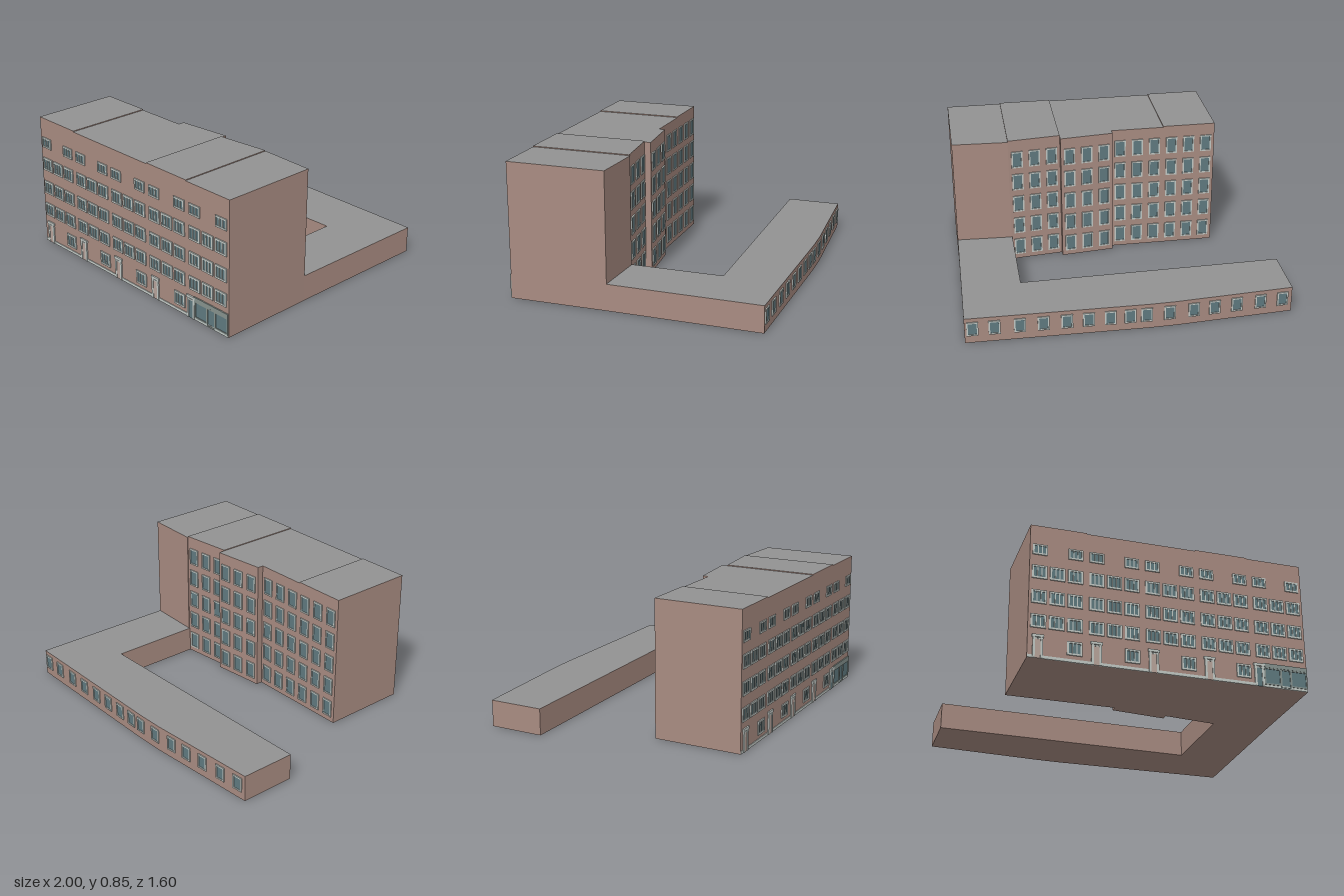
import * as THREE from 'three';

const mat = (name, color) => Object.assign(new THREE.MeshStandardMaterial({ color }), { name });
const BRICK = mat('brick', 0xa98c82);
const ROOF = mat('roof grey', 0x929292);
const PALE = mat('pale frame', 0xc3cac6);
const GLASS = mat('glass', 0x607a80);
const LEAF = mat('door leaf', 0xb9a59c);
const SHOP = mat('shop frame', 0x87938f);

function mesh(name, geometry, material, x = 0, y = 0, z = 0) {
  const m = new THREE.Mesh(geometry, material);
  m.name = name;
  m.position.set(x, y, z);
  return m;
}

// Brick volume over a plan of [x, z] corners, with a thin roof sheet on top
function block(name, plan, height) {
  const shape = new THREE.Shape(plan.map(([x, z]) => new THREE.Vector2(x, -z)));
  const walls = new THREE.ExtrudeGeometry(shape, { depth: height, bevelEnabled: false }).rotateX(-Math.PI / 2);
  const roof = new THREE.ShapeGeometry(shape).rotateX(-Math.PI / 2);
  const g = new THREE.Group();
  g.name = name;
  g.add(mesh('walls', walls, BRICK), mesh('roof', roof, ROOF, 0, height + 0.001, 0));
  return g;
}

// Frame plate with a row of equal pane openings, centred on the origin
function frameGeometry(w, h, panes, border, bar, depth = 0.007) {
  const rect = (path, x0, y0, x1, y1) =>
    path.moveTo(x0, y0).lineTo(x1, y0).lineTo(x1, y1).lineTo(x0, y1).closePath();
  const shape = new THREE.Shape();
  rect(shape, -w / 2, -h / 2, w / 2, h / 2);
  const pw = (w - 2 * border - bar * (panes - 1)) / panes;
  for (let i = 0; i < panes; i++) {
    const x = -w / 2 + border + i * (pw + bar);
    const hole = new THREE.Path();
    rect(hole, x, -h / 2 + border, x + pw, h / 2 - border);
    shape.holes.push(hole);
  }
  return new THREE.ExtrudeGeometry(shape, { depth, bevelEnabled: false });
}

// Returns a maker of identical windows that share their geometry
function windowType(name, w, h, panes, border, bar, frameMat = PALE) {
  const frame = frameGeometry(w, h, panes, border, bar);
  const glass = new THREE.BoxGeometry(w - border, h - border, 0.003);
  return () => {
    const g = new THREE.Group();
    g.name = name;
    g.add(mesh('frame', frame, frameMat), mesh('glass', glass, GLASS, 0, 0, 0.0015));
    return g;
  };
}

// Door with pale jambs, canopy and a solid or glazed leaf
function door(leafMat) {
  const g = new THREE.Group();
  g.name = 'entranceDoor';
  for (const s of [-1, 1]) {
    g.add(mesh('jamb', new THREE.BoxGeometry(0.014, 0.13, 0.008), PALE, s * 0.023, 0.065, 0.004));
  }
  g.add(mesh('leaf', new THREE.BoxGeometry(0.034, 0.12, 0.005), leafMat, 0, 0.06, 0.0025));
  g.add(mesh('transom', new THREE.BoxGeometry(0.034, 0.008, 0.007), PALE, 0, 0.121, 0.0035));
  g.add(mesh('canopy', new THREE.BoxGeometry(0.07, 0.016, 0.009), PALE, 0, 0.137, 0.0045));
  return g;
}

export function createModel() {
  const model = new THREE.Group();
  model.name = 'apartmentBuilding';
  const FRONT = 0.787;

  // Put an object on the wall from a to b, which has its outside on the left going a to b seen from above
  const mount = (obj, a, b, x, y) => {
    const dx = b[0] - a[0], dz = b[1] - a[1];
    obj.position.set(x, y, a[1] + (dz * (x - a[0])) / dx);
    obj.rotation.y = Math.atan2(dz, -dx);
    model.add(obj);
  };
  const onFront = (obj, x, y) => mount(obj, [0.985, FRONT], [-0.72, FRONT], x, y);

  // Five main sections: x range, back wall z at each end, height
  const sections = [
    [-0.72, -0.38, 0.23, 0.23, 0.853],
    [-0.38, -0.04, 0.23, 0.23, 0.847],
    [-0.04, 0.30, 0.19, 0.155, 0.847],
    [0.30, 0.635, 0.195, 0.16, 0.853],
    [0.635, 0.985, 0.155, 0.17, 0.847],
  ];
  const backWindow = windowType('backWindow', 0.072, 0.112, 1, 0.009, 0);
  sections.forEach(([x0, x1, z0, z1, h], i) => {
    model.add(block('mainSection', [[x0, z0], [x1, z1], [x1, FRONT], [x0, FRONT]], h));
    if (i === 4) return;
    for (let row = 0; row < 5; row++) {
      for (const t of [1 / 6, 1 / 2, 5 / 6]) {
        mount(backWindow(), [x0, z0], [x1, z1], x0 + t * (x1 - x0), 0.09 + row * 0.157);
      }
    }
  });

  // Low L-shaped wing around the courtyard
  const backLine = [[-1, -0.745], [-0.6, -0.771], [-0.27, -0.793], [-0.1, -0.797], [0.1, -0.795], [0.997, -0.785]];
  model.add(block('lowWing', [
    ...backLine, [0.985, 0.17], [0.63, 0.16], [0.63, -0.427], [-1, -0.397],
  ], 0.166));
  const wingWindow = windowType('wingWindow', 0.07, 0.092, 1, 0.009, 0);
  const wingX = [0.95, 0.82, 0.67, 0.53, 0.39, 0.26, 0.13, 0.01, -0.09, -0.23, -0.38, -0.51, -0.65, -0.80, -0.94];
  for (const x of wingX) {
    const k = backLine.findIndex((p) => p[0] > x);
    mount(wingWindow(), backLine[k - 1], backLine[k], x, 0.095);
  }

  // Front windows in five bays of three, smaller ones on the top floor
  const frontWindow = windowType('frontWindow', 0.09, 0.085, 3, 0.011, 0.005);
  const topWindow = windowType('topWindow', 0.088, 0.068, 3, 0.01, 0.005);
  for (let bay = 0; bay < 5; bay++) {
    const x = -0.66 + bay * 0.342;
    for (const y of [0.23, 0.385, 0.545]) {
      for (let c = 0; c < 3; c++) onFront(frontWindow(), x + c * 0.107, y);
    }
    onFront(topWindow(), x, 0.692);
    onFront(topWindow(), x + 0.214, 0.692);
    if (bay < 4) {
      onFront(frontWindow(), x + 0.214, 0.085);
      onFront(door(LEAF), x, 0);
    }
  }
  onFront(door(GLASS), 0.677, 0);

  // Shopfront: two display windows either side of a glazed door, under a header band
  const display = windowType('shopWindow', 0.108, 0.11, 1, 0.009, 0, SHOP);
  const shopDoor = windowType('shopDoor', 0.066, 0.118, 1, 0.007, 0, SHOP);
  onFront(display(), 0.762, 0.07);
  onFront(shopDoor(), 0.846, 0.064);
  onFront(display(), 0.929, 0.07);
  onFront(mesh('shopHeader', new THREE.BoxGeometry(0.28, 0.026, 0.016), SHOP), 0.843, 0.137);

  // Pale plinth along the foot of the front, and a thin eaves strip
  onFront(mesh('plinth', new THREE.BoxGeometry(1.7, 0.018, 0.008), PALE), 0.132, 0.009);
  return model;
}
